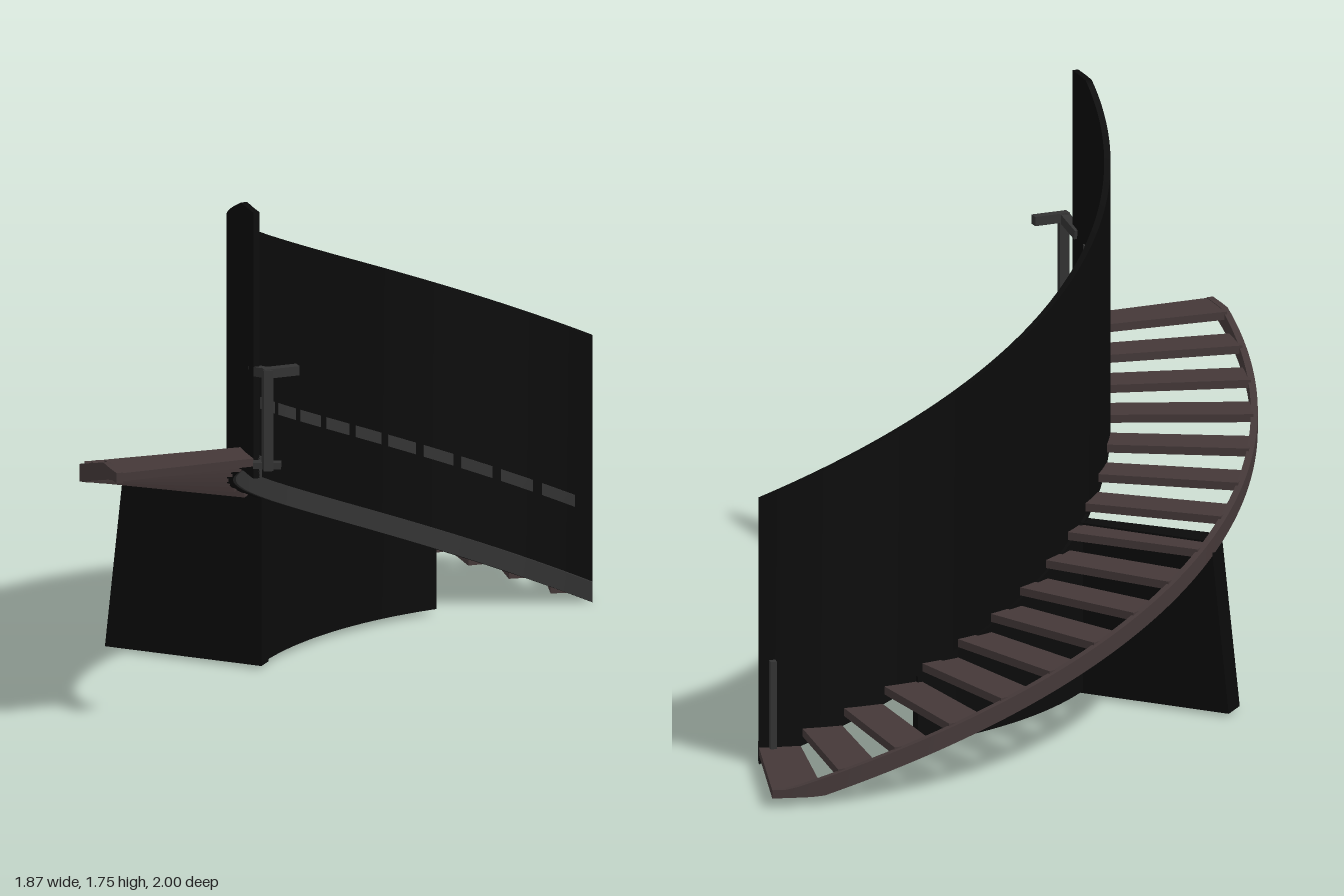
import * as THREE from 'three';
import { toCreasedNormals } from 'three/addons/utils/BufferGeometryUtils.js';

const CX = 0.73, CZ = 0.66;          // centre of the curve
const T0 = 83, T1 = 191.5;           // angle at the foot and at the top
const COUNT = 17, PITCH = (T1 - T0) / COUNT;
const RISE = 0.056;

const clamp = THREE.MathUtils.clamp;

// point at radius r, angle t (degrees) and height y
function polar(r, t, y) {
  const a = THREE.MathUtils.degToRad(t);
  return [CX + r * Math.cos(a), y, CZ - r * Math.sin(a)];
}

// closed solid through four-cornered cross-sections
function loft(rings) {
  const index = [], last = (rings.length - 1) * 4;
  for (let i = 0; i < last; i += 4) {
    for (let k = 0; k < 4; k++) {
      const a = i + k, b = i + (k + 1) % 4;
      index.push(a, a + 4, b + 4, a, b + 4, b);
    }
  }
  index.push(0, 1, 2, 0, 2, 3);
  index.push(last, last + 2, last + 1, last, last + 3, last + 2);
  const geo = new THREE.BufferGeometry();
  geo.setAttribute('position', new THREE.Float32BufferAttribute(rings.flat(2), 3));
  geo.setIndex(index);
  return toCreasedNormals(geo, 0.5);
}

// curved strip between two radii, with bottom and top heights by angle
function arcStrip(r0, r1, t0, t1, bottom, top, n = 76) {
  const rings = [];
  for (let i = 0; i <= n; i++) {
    const t = t0 + (t1 - t0) * i / n, b = bottom(t), h = top(t);
    rings.push([polar(r0, t, b), polar(r1, t, b), polar(r1, t, h), polar(r0, t, h)]);
  }
  return loft(rings);
}

export function createModel() {
  const group = new THREE.Group();
  const mat = (color) => new THREE.MeshStandardMaterial({ color });
  const black = mat(0x0a0a0a), steel = mat(0x333333), wood = mat(0x443838);

  function add(name, geo, material, parent = group) {
    const mesh = new THREE.Mesh(geo, material);
    mesh.name = name;
    parent.add(mesh);
    return mesh;
  }

  // square bar between two points
  function bar(name, a, b, w, h, parent) {
    const p = new THREE.Vector3(...a), q = new THREE.Vector3(...b);
    const mesh = add(name, new THREE.BoxGeometry(w, h, p.distanceTo(q)), steel, parent);
    mesh.position.copy(p).add(q).multiplyScalar(0.5);
    mesh.lookAt(q);
  }

  // lower edge of the wall: a steady climb, level at the landing
  const base = (t) => 0.00861 * (Math.min(t, 185.8) - T0);

  // solid curved balustrade with the steel stringer on its inner face
  add('balustradeWall', arcStrip(1.185, 1.205, T0, T1, base, (t) => base(t) + 0.865), black);
  add('innerStringer', arcStrip(1.176, 1.188, T0, T1, (t) => base(t) + 0.003, (t) => base(t) + 0.068), steel);

  // treads, narrower than the pitch at the outer end
  const treads = new THREE.Group();
  treads.name = 'treads';
  group.add(treads);
  for (let i = 0; i < COUNT; i++) {
    const mid = T0 + (i + 0.5) * PITCH, top = 0.055 + RISE * i, low = top - 0.026;
    const section = (side) => {
      const atEnd = (i === 0 && side < 0) || (i === COUNT - 1 && side > 0);
      const ti = mid + side * (atEnd ? PITCH / 2 : 3.05);
      const to = mid + side * (atEnd ? PITCH / 2 : 2.35);
      return [polar(1.2, ti, low), polar(1.65, to, low), polar(1.65, to, top), polar(1.2, ti, top)];
    };
    add('tread', loft([section(-1), section(1)]), wood, treads);
  }

  // outer stringer, levelled off at both ends
  const line = (t) => 0.055 + RISE * ((t - T0) / PITCH - 0.5);
  add('outerStringer', arcStrip(1.642, 1.664, T0, T1,
    (t) => clamp(line(t) - 0.045, 0.029, 0.92),
    (t) => clamp(line(t) + 0.012, 0.056, 0.953)), wood);

  // handrail segments showing along the inner face of the wall
  const rail = new THREE.Group();
  rail.name = 'handrail';
  group.add(rail);
  for (let i = 0; i < COUNT - 1; i++) {
    const t = T0 + 2.7 + i * PITCH;
    add('railSegment', arcStrip(1.181, 1.19, t, t + 5,
      (a) => base(a) + 0.29, (a) => base(a) + 0.328, 3), steel, rail);
  }

  // rail end and post at the top, post at the foot
  const corner = (y) => [-0.42, y, 0.975];
  bar('railEnd', polar(1.19, 189.5, 1.225), corner(1.25), 0.03, 0.03, rail);
  bar('railReturn', [-0.435, 1.25, 0.978], [-0.32, 1.25, 0.955], 0.03, 0.03, rail);
  bar('topPost', corner(0.935), corner(1.262), 0.03, 0.04, rail);
  bar('topPostFoot', [-0.46, 0.945, 0.945], [-0.375, 0.945, 0.965], 0.03, 0.02, rail);
  bar('footPost', polar(1.213, 85, 0.05), polar(1.213, 85, 0.34), 0.02, 0.03, rail);

  // supporting wall: a curved part under the balustrade and a radial slab
  add('curvedSupport', arcStrip(1.186, 1.216, 107.6, 147, () => 0.018, (t) => base(t) + 0.03, 24), black);
  const slab = (y, r) => [
    polar(1.186, 144.9, y), polar(1.186, 147.5, y), polar(r, 147, y), polar(r, 144, y),
  ];
  add('radialSupport', loft([slab(0.01, 1.72), slab(0.565, 1.66)]), black);

  return group;
}
